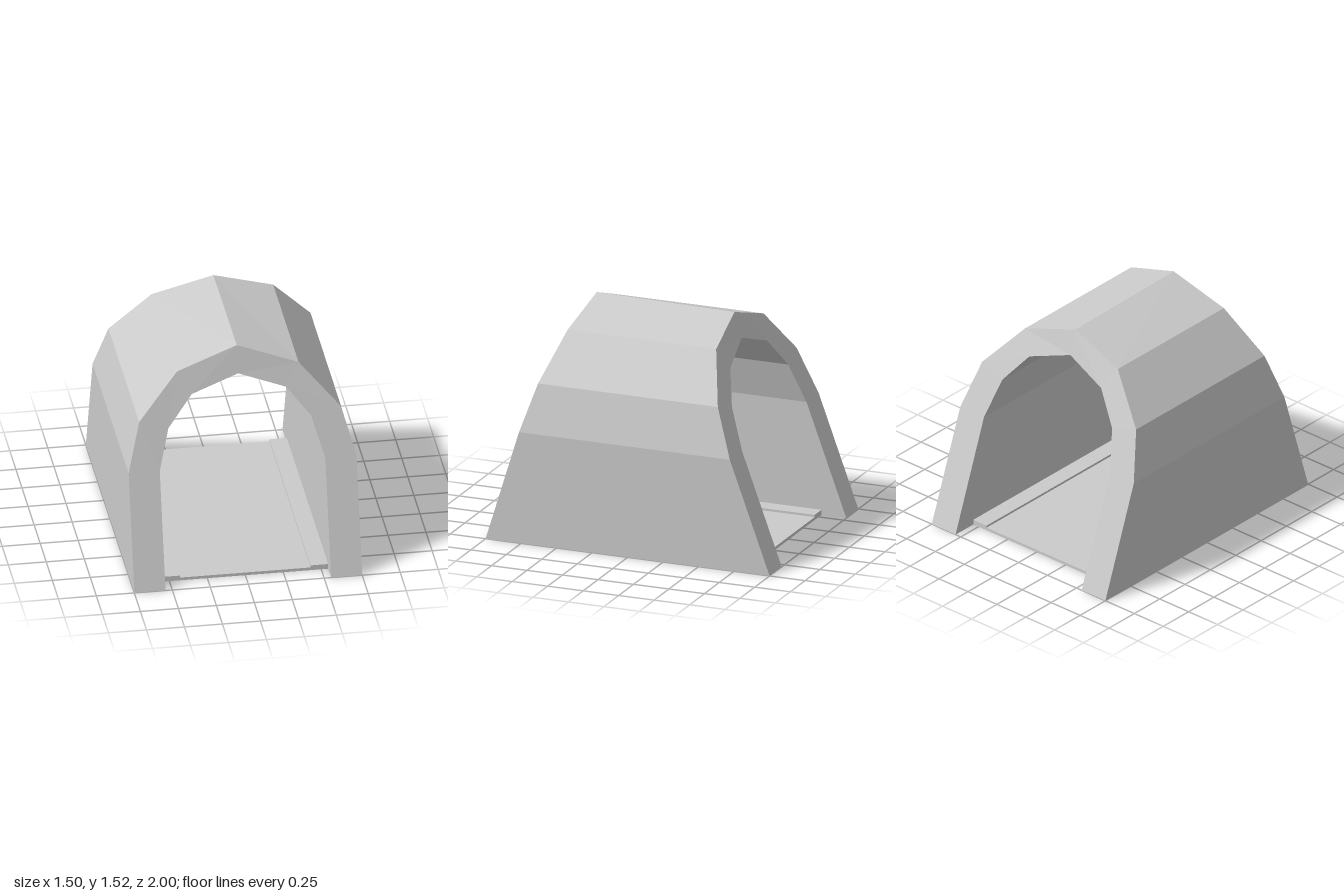
import * as THREE from 'three';

const material = new THREE.MeshStandardMaterial({ color: 0xcccccc, flatShading: true });

// Half profiles from ground to ridge: [x, y, front z, back z]
const OUTER = [[0.75, 0, 1, -1], [0.75, 0.76, 0.765, -0.72], [0.665, 1.08, 0.666, -0.6],
  [0.4, 1.38, 0.568, -0.478], [0, 1.52, 0.53, -0.44]];
const INNER = [[0.545, 0, 1, -1], [0.545, 0.76, 0.765, -0.72], [0.475, 1.025, 0.68, -0.62],
  [0.31, 1.23, 0.615, -0.54], [0, 1.337, 0.58, -0.49]];
const BACK_RIDGE_DROP = 0.013;

// Mirror a half profile into a full arch running from +x over the ridge to -x
function fullArch(half) {
  const mirrored = half.slice(0, -1).reverse().map(([x, y, f, b]) => [-x, y, f, b]);
  return [...half, ...mirrored];
}

// Vaulted shell with sloping end faces
function archGeometry() {
  const outer = fullArch(OUTER), inner = fullArch(INNER), pos = [];
  const front = p => [p[0], p[1], p[2]];
  const back = p => [p[0], p[0] === 0 && p[1] > 1.4 ? p[1] - BACK_RIDGE_DROP : p[1], p[3]];
  const quad = (a, b, c, d) => pos.push(...a, ...b, ...c, ...a, ...c, ...d);
  for (let i = 0; i < outer.length - 1; i++) {
    const o = outer[i], o2 = outer[i + 1], n = inner[i], n2 = inner[i + 1];
    quad(front(o), back(o), back(o2), front(o2)); // outside
    quad(front(n), front(n2), back(n2), back(n)); // inside
    quad(front(o), front(o2), front(n2), front(n)); // front end
    quad(back(o), back(n), back(n2), back(o2)); // back end
  }
  // Feet
  const e = outer.length - 1;
  quad(front(outer[0]), front(inner[0]), back(inner[0]), back(outer[0]));
  quad(front(inner[e]), front(outer[e]), back(outer[e]), back(inner[e]));
  const geometry = new THREE.BufferGeometry();
  geometry.setAttribute('position', new THREE.Float32BufferAttribute(pos, 3));
  geometry.computeVertexNormals();
  return geometry;
}

function box(name, x0, x1, height, z0, z1) {
  const mesh = new THREE.Mesh(new THREE.BoxGeometry(x1 - x0, height, z1 - z0), material);
  mesh.position.set((x0 + x1) / 2, height / 2, (z0 + z1) / 2);
  mesh.name = name;
  return mesh;
}

export function createModel() {
  const model = new THREE.Group();
  model.name = 'tunnel';

  const arch = new THREE.Mesh(archGeometry(), material);
  arch.name = 'archShell';
  model.add(arch);

  // Floor slab with a raised kerb along each wall
  model.add(box('floor', -0.43, 0.43, 0.02, -0.825, 0.88));
  model.add(box('leftKerb', 0.43, 0.545, 0.035, -0.825, 0.88));
  model.add(box('rightKerb', -0.545, -0.43, 0.035, -0.825, 0.88));
  return model;
}
